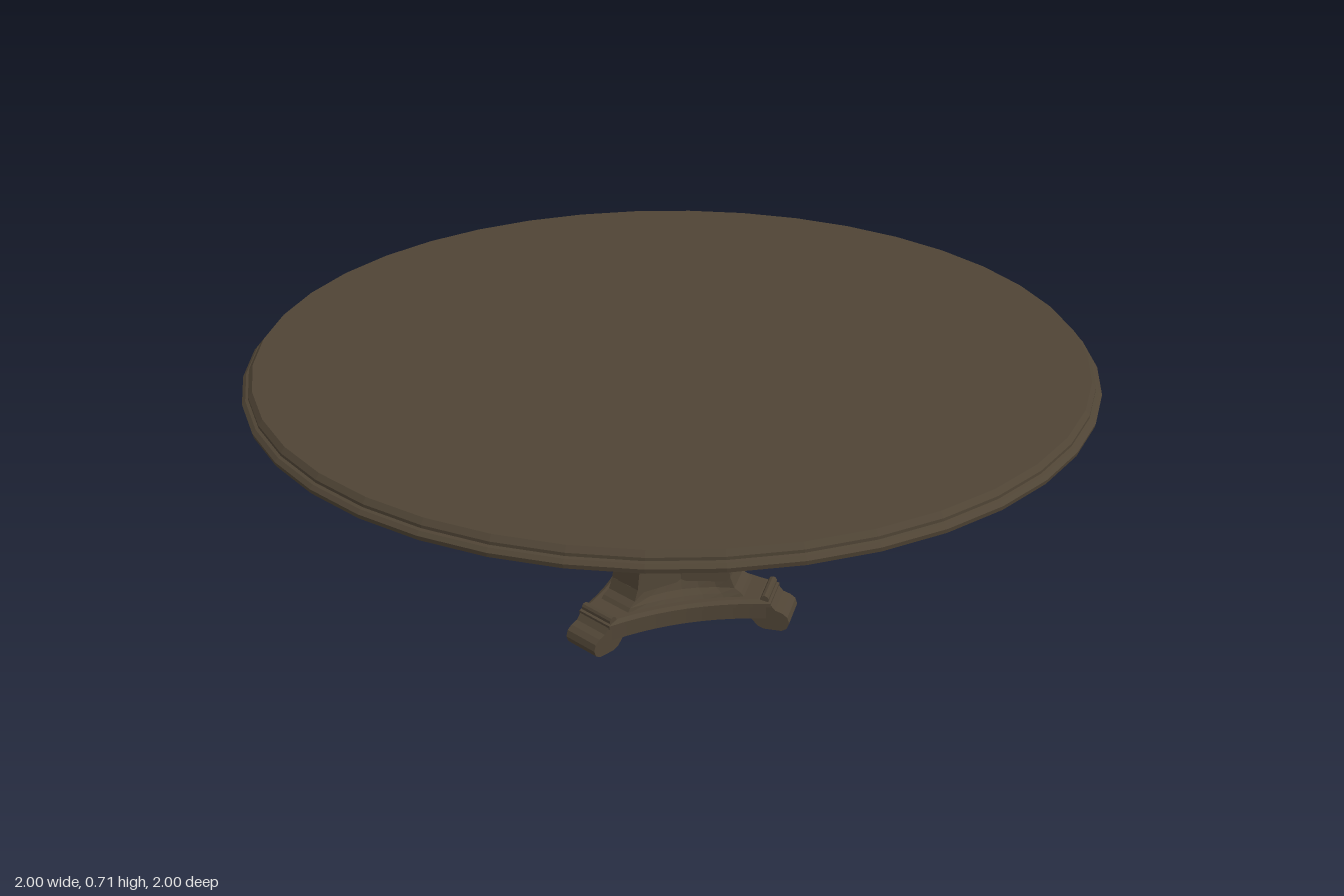
import * as THREE from 'three';

const wood = new THREE.MeshStandardMaterial({ color: 0x4f4435 });
wood.name = 'darkWood';
wood.flatShading = true;

const ARMS = [30, 150, 270].map(THREE.MathUtils.degToRad);

// Three-armed outline: arm reach r, half width w, side depth d, n segments per side
function outline([y, r, w, d], n) {
  const pts = [];
  ARMS.forEach((a, k) => {
    const b = a + Math.PI * 2 / 3, m = a + Math.PI / 3;
    const p = [Math.cos(a) * r - Math.sin(a) * w, Math.sin(a) * r + Math.cos(a) * w];
    const q = [Math.cos(b) * r + Math.sin(b) * w, Math.sin(b) * r - Math.cos(b) * w];
    const mid = [Math.cos(m) * d, Math.sin(m) * d];
    for (let i = 0; i <= n; i++) {
      const t = i / n;
      const [x, z] = [0, 1].map(j => {
        const c = 2 * mid[j] - (p[j] + q[j]) / 2;
        return (1 - t) ** 2 * p[j] + 2 * t * (1 - t) * c + t * t * q[j];
      });
      pts.push([x, y, z]);
    }
  });
  return pts;
}

// Capped loft through sections listed from bottom to top
function loft(name, sections, n) {
  const rings = sections.map(s => outline(s, n));
  const count = rings[0].length, v = [];
  const first = [0, sections[0][0], 0], last = [0, sections.at(-1)[0], 0];
  for (let i = 0; i < count; i++) {
    const j = (i + 1) % count;
    for (let k = 0; k < rings.length - 1; k++) {
      const lo = rings[k], hi = rings[k + 1];
      v.push(...lo[i], ...hi[i], ...lo[j], ...hi[i], ...hi[j], ...lo[j]);
    }
    v.push(...first, ...rings[0][i], ...rings[0][j]);
    v.push(...last, ...rings.at(-1)[j], ...rings.at(-1)[i]);
  }
  const g = new THREE.BufferGeometry();
  g.setAttribute('position', new THREE.Float32BufferAttribute(v, 3));
  g.computeVertexNormals();
  return mesh(name, g);
}

function mesh(name, geometry) {
  const m = new THREE.Mesh(geometry, wood);
  m.name = name;
  return m;
}

// Foot: side profile (reach, height) extruded across the arm
function foot(angle) {
  const g = new THREE.Group();
  g.name = 'foot';
  const shape = new THREE.Shape([
    [0.17, 0.03], [0.215, 0.028], [0.235, 0.006], [0.25, 0], [0.295, 0], [0.308, 0.008],
    [0.314, 0.024], [0.309, 0.04], [0.296, 0.05], [0.278, 0.056], [0.266, 0.07], [0.17, 0.07],
  ].map(p => new THREE.Vector2(...p)));
  const body = new THREE.ExtrudeGeometry(shape, { depth: 0.1, bevelEnabled: false });
  body.translate(0, 0, -0.05);
  g.add(mesh('footBlock', body));
  // Scroll roll lying across the top of the foot
  const roll = new THREE.CylinderGeometry(0.011, 0.011, 0.1, 10);
  roll.rotateX(Math.PI / 2).translate(0.25, 0.083, 0);
  g.add(mesh('footScroll', roll));
  g.rotation.y = -angle;
  return g;
}

export function createModel() {
  const model = new THREE.Group();
  model.name = 'pedestalTable';

  // Round top with a stepped, moulded edge
  const edge = [
    [0, 0.669], [0.985, 0.669], [0.998, 0.672], [1, 0.682], [0.992, 0.69],
    [0.985, 0.692], [0.985, 0.699], [0.975, 0.711], [0, 0.711],
  ].map(p => new THREE.Vector2(...p));
  model.add(mesh('tableTop', new THREE.LatheGeometry(edge, 40)));

  // Bracket spreading from the column to the top
  model.add(loft('topBracket', [[0.605, 0.1, 0.045, 0.06], [0.67, 0.31, 0.085, 0.13]], 2));

  // Tapered column with folded sides
  model.add(loft('column', [[0.12, 0.163, 0.045, 0.088], [0.606, 0.1, 0.045, 0.06]], 2));

  // Flared collar at the foot of the column
  model.add(loft('columnCollar', [
    [0.08, 0.2, 0.048, 0.125], [0.092, 0.19, 0.047, 0.115],
    [0.103, 0.173, 0.046, 0.098], [0.13, 0.162, 0.045, 0.086],
  ], 6));

  // Three-armed base with hollowed sides and a thin upper moulding
  model.add(loft('base', [[0.03, 0.255, 0.05, 0.14], [0.066, 0.255, 0.05, 0.14]], 10));
  model.add(loft('baseMoulding', [
    [0.066, 0.266, 0.054, 0.148], [0.076, 0.266, 0.054, 0.148], [0.083, 0.235, 0.05, 0.138],
  ], 10));

  ARMS.forEach(a => model.add(foot(a)));
  return model;
}
